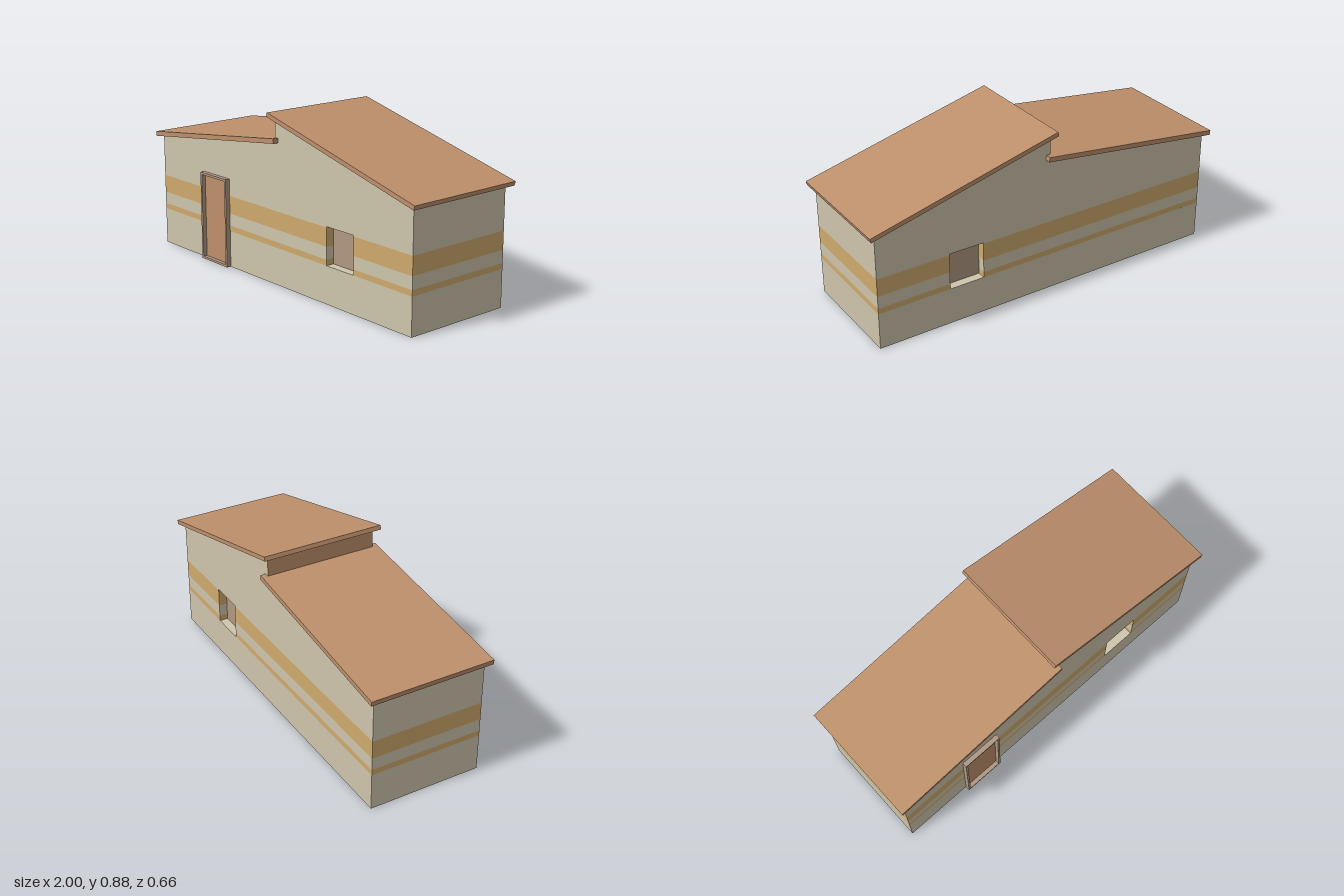
import * as THREE from 'three';
import { mergeGeometries } from 'three/addons/utils/BufferGeometryUtils.js';

const material = (name, color, side = THREE.FrontSide) => {
  const m = new THREE.MeshStandardMaterial({ color, side });
  m.name = name;
  return m;
};

const XL = -0.97, XR = 0.965, ZW = 0.3;            // wall planes
const DOOR = { x0: -0.6, x1: -0.38, top: 0.475 };
const WIN = { x0: 0.385, x1: 0.575, y0: 0.195, y1: 0.39, depth: 0.045 };
// Horizontal bands below the eaves: bottom, top, painted or not
const BANDS = [[0, 0.195, 0], [0.195, 0.225, 1], [0.225, 0.29, 0], [0.29, 0.385, 1]];
const EAVE = 0.385;

const shapeOf = (pts) => new THREE.Shape(pts.map(([x, y]) => new THREE.Vector2(x, y)));

// Upright rectangle facing +z
const rect = (x0, x1, y0, y1, z) =>
  new THREE.PlaneGeometry(x1 - x0, y1 - y0).translate((x0 + x1) / 2, (y0 + y1) / 2, z);

// Upright rectangle facing +x or -x
const sideRect = (x, z0, z1, y0, y1, dir) =>
  new THREE.PlaneGeometry(z1 - z0, y1 - y0).rotateY(dir * Math.PI / 2)
    .translate(x, (y0 + y1) / 2, (z0 + z1) / 2);

export function createModel() {
  const house = new THREE.Group();
  house.name = 'house';
  const wallMat = material('cream wall', 0xcec5ac, THREE.DoubleSide);
  const stripeMat = material('ochre stripe', 0xcfaa6d, THREE.DoubleSide);
  const roofMat = material('terracotta', 0xbe906c, THREE.DoubleSide);
  const frameMat = material('taupe frame', 0xb09882, THREE.DoubleSide);

  const add = (name, geometry, mat, parent = house) => {
    const mesh = new THREE.Mesh(geometry, mat);
    mesh.name = name;
    parent.add(mesh);
    return mesh;
  };

  // Long walls: banded lower part with openings, gabled upper part
  const longWall = (name, sign, hasDoor) => {
    const z = sign * ZW, parts = [[], []];
    for (const [y0, y1, painted] of BANDS) {
      const cuts = [XL];
      if (hasDoor) cuts.push(DOOR.x0, DOOR.x1);
      if (y0 >= WIN.y0) cuts.push(WIN.x0, WIN.x1);
      cuts.push(XR);
      for (let i = 0; i < cuts.length; i += 2) parts[painted].push(rect(cuts[i], cuts[i + 1], y0, y1, z));
      // Side reveals of the window carry the bands inward
      if (y0 >= WIN.y0) {
        const zs = [z, z - sign * WIN.depth].sort((a, b) => a - b);
        parts[painted].push(sideRect(WIN.x0, zs[0], zs[1], y0, y1, 1), sideRect(WIN.x1, zs[0], zs[1], y0, y1, -1));
      }
    }
    const outline = [[XL, EAVE]];
    if (hasDoor) outline.push([DOOR.x0, EAVE], [DOOR.x0, DOOR.top], [DOOR.x1, DOOR.top], [DOOR.x1, EAVE]);
    outline.push([WIN.x0, EAVE], [WIN.x0, WIN.y1], [WIN.x1, WIN.y1], [WIN.x1, EAVE],
      [XR, EAVE], [XR, 0.612], [0, 0.853], [0, 0.735], [XL, 0.61]);
    parts[0].push(new THREE.ShapeGeometry(shapeOf(outline)).translate(0, 0, z));
    // Sill and head of the window recess
    for (const [y, dir] of [[WIN.y0, -1], [WIN.y1, 1]]) {
      parts[0].push(new THREE.PlaneGeometry(WIN.x1 - WIN.x0, WIN.depth).rotateX(dir * Math.PI / 2)
        .translate((WIN.x0 + WIN.x1) / 2, y, z - sign * WIN.depth / 2));
    }
    const group = new THREE.Group();
    group.name = name;
    house.add(group);
    add(name + 'Plaster', mergeGeometries(parts[0]), wallMat, group);
    add(name + 'Stripes', mergeGeometries(parts[1]), stripeMat, group);
    add(name + 'WindowPane', rect(WIN.x0, WIN.x1, WIN.y0, WIN.y1, z - sign * WIN.depth), frameMat, group);
  };
  longWall('frontWall', 1, true);
  longWall('backWall', -1, false);

  // End walls
  for (const [name, x, dir] of [['leftWall', XR, 1], ['rightWall', XL, -1]]) {
    const parts = [[sideRect(x, -ZW, ZW, EAVE, 0.61, dir)], []];
    for (const [y0, y1, painted] of BANDS) parts[painted].push(sideRect(x, -ZW, ZW, y0, y1, dir));
    add(name + 'Plaster', mergeGeometries(parts[0]), wallMat);
    add(name + 'Stripes', mergeGeometries(parts[1]), stripeMat);
  }

  // Two roof slabs at different heights, and the riser between them
  const slab = (name, pts) => add(name,
    new THREE.ExtrudeGeometry(shapeOf(pts), { depth: 0.66, bevelEnabled: false }).translate(0, 0, -0.33), roofMat);
  slab('lowerRoof', [[-0.997, 0.605], [0.025, 0.734], [0.022, 0.759], [-1, 0.63]]);
  slab('upperRoof', [[-0.03, 0.86], [0.994, 0.604], [1, 0.626], [-0.024, 0.882]]);
  add('roofRiser', sideRect(0, -ZW, ZW, 0.733, 0.855, -1), roofMat);

  // Door in a projecting frame
  const t = 0.012;
  const frame = shapeOf([[DOOR.x0, 0], [DOOR.x1, 0], [DOOR.x1, DOOR.top], [DOOR.x0, DOOR.top]]);
  frame.holes.push(new THREE.Path([
    [DOOR.x0 + t, t], [DOOR.x0 + t, DOOR.top - t], [DOOR.x1 - t, DOOR.top - t], [DOOR.x1 - t, t],
  ].map(([x, y]) => new THREE.Vector2(x, y))));
  add('doorFrame', new THREE.ExtrudeGeometry(frame, { depth: 0.025, bevelEnabled: false }).translate(0, 0, ZW), frameMat);
  add('door', rect(DOOR.x0 + t, DOOR.x1 - t, t, DOOR.top - t, ZW + 0.003), roofMat);

  return house;
}
